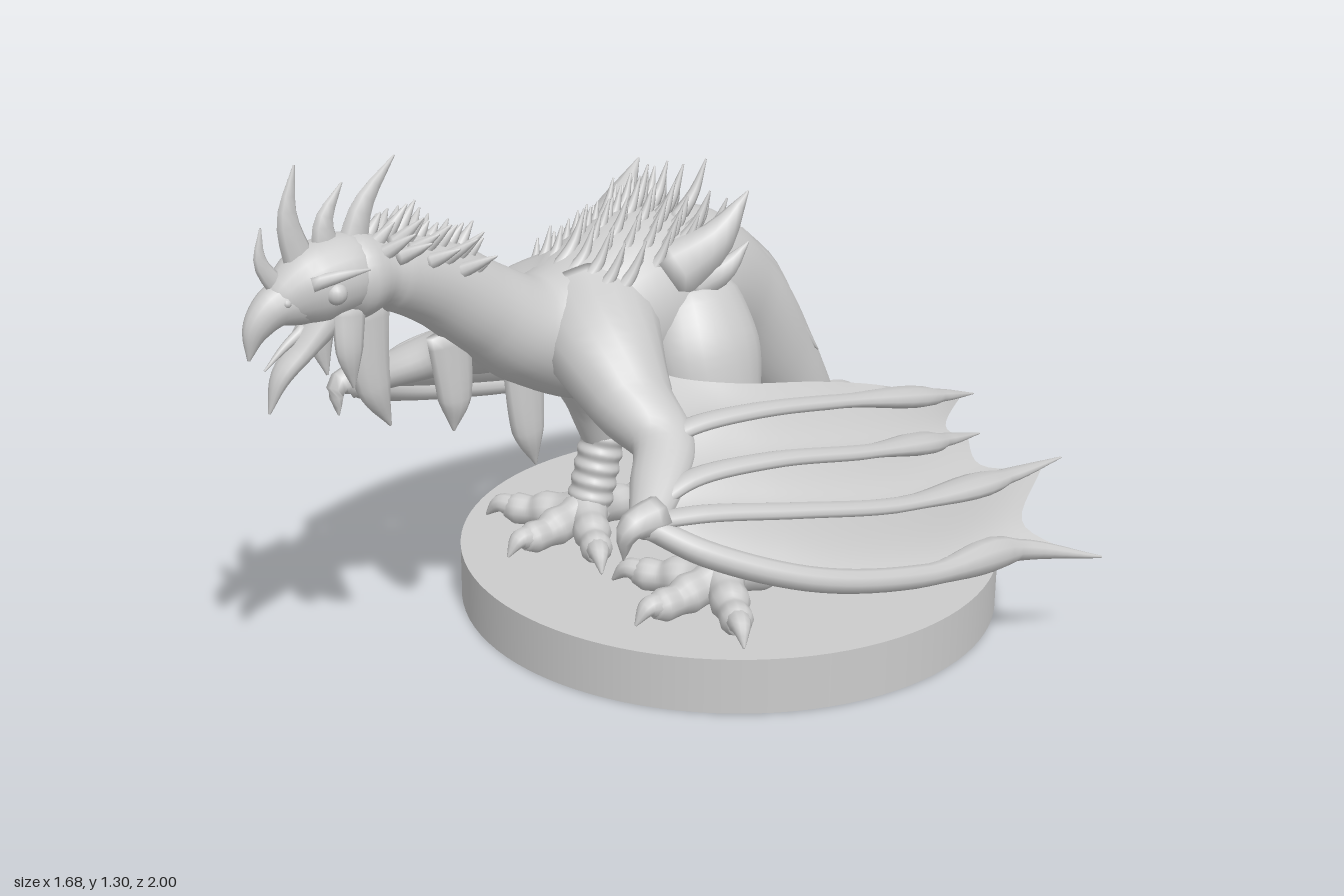
import * as THREE from 'three';

const V = (p) => new THREE.Vector3(p[0], p[1], p[2]);
const skin = new THREE.MeshStandardMaterial({ color: 0xcccccc });
const thin = new THREE.MeshStandardMaterial({ color: 0xcccccc, side: THREE.DoubleSide });

function build(pos, idx) {
  const g = new THREE.BufferGeometry();
  g.setAttribute('position', new THREE.Float32BufferAttribute(pos, 3));
  g.setIndex(idx);
  g.computeVertexNormals();
  return g;
}

// Smooth closed limb through stations [x, y, z, sideRadius, upRadius]
function loft(stations, steps = 24, sides = 16) {
  const curve = new THREE.CatmullRomCurve3(stations.map(V), false, 'centripetal');
  const radii = new THREE.CatmullRomCurve3(stations.map((s) => new THREE.Vector3(s[3], s[4] ?? s[3], 0)));
  const first = stations[0], last = stations[stations.length - 1];
  const upright = Math.abs(V(last).sub(V(first)).normalize().y) > 0.8;
  const pos = [], idx = [];
  for (let i = 0; i <= steps; i++) {
    const c = curve.getPoint(i / steps), r = radii.getPoint(i / steps), t = curve.getTangent(i / steps).normalize();
    const ref = upright ? new THREE.Vector3(0, 0, 1) : new THREE.Vector3(0, 1, 0);
    const side = ref.cross(t).normalize(), up = t.clone().cross(side);
    for (let j = 0; j < sides; j++) {
      const a = (j / sides) * Math.PI * 2;
      const p = c.clone().addScaledVector(side, Math.cos(a) * Math.max(r.x, 0.001)).addScaledVector(up, Math.sin(a) * Math.max(r.y, 0.001));
      pos.push(p.x, p.y, p.z);
      if (i < steps) {
        const k = i * sides + j, l = i * sides + (j + 1) % sides;
        idx.push(k, l, k + sides, l, l + sides, k + sides);
      }
    }
  }
  const n = pos.length / 3;
  pos.push(...first.slice(0, 3), ...last.slice(0, 3));
  for (let j = 0; j < sides; j++) {
    const k = (j + 1) % sides, e = steps * sides;
    idx.push(n, k, j, n + 1, e + j, e + k);
  }
  return build(pos, idx);
}

// Curved, tapering spike from base to tip; bow bends its middle
function spike(base, tip, r, bow = [0, 0, 0], flat = 1) {
  const mid = base.map((b, i) => (b + tip[i]) / 2 + bow[i]);
  return loft([[...base, r * flat, r], [...mid, r * 0.65 * flat, r * 0.65], [...tip, 0.002]], 7, 8);
}

// Webbing between two finger curves, sagging and scalloped at the rear
function web(a, b, sag) {
  const pos = [], idx = [], nu = 28, nv = 10;
  for (let i = 0; i <= nu; i++) for (let j = 0; j <= nv; j++) {
    const v = j / nv, s = Math.sin(Math.PI * v), u = (i / nu) * (0.94 - 0.1 * s);
    const p = a.getPoint(u).lerp(b.getPoint(u), v);
    pos.push(p.x, p.y - sag * s * Math.min(1, u * 3), p.z);
    if (i < nu && j < nv) {
      const k = i * (nv + 1) + j, l = k + nv + 1;
      idx.push(k, k + 1, l, k + 1, l + 1, l);
    }
  }
  return build(pos, idx);
}

export function createModel() {
  const root = new THREE.Group();
  const add = (name, geo, parent = root, mat = skin) => {
    const m = new THREE.Mesh(geo, mat);
    m.name = name;
    parent.add(m);
    return m;
  };
  const group = (name, parent = root) => {
    const g = new THREE.Group();
    g.name = name;
    parent.add(g);
    return g;
  };
  let seed = 7;
  const rnd = () => (seed = (seed * 16807) % 2147483647) / 2147483647;

  // Round stand
  add('base', new THREE.CylinderGeometry(0.667, 0.667, 0.135, 96)).position.set(0, 0.0675, -0.333);

  // Neck, trunk and sweeping tail in one skin
  add('bodyAndTail', loft([
    [0, 1.03, 0.84, 0.06, 0.07], [0, 1.04, 0.76, 0.08, 0.085], [0, 1.03, 0.65, 0.08, 0.085],
    [0, 0.98, 0.53, 0.085, 0.095], [0, 0.895, 0.41, 0.1, 0.105], [0, 0.82, 0.29, 0.13, 0.125],
    [0, 0.8, 0.15, 0.18, 0.175], [0, 0.83, -0.02, 0.195, 0.2], [0, 0.83, -0.17, 0.17, 0.19],
    [0, 0.745, -0.33, 0.125, 0.145], [0.01, 0.58, -0.47, 0.095, 0.11], [0.005, 0.42, -0.58, 0.08, 0.09],
    [-0.03, 0.29, -0.68, 0.07, 0.08], [-0.11, 0.21, -0.79, 0.06, 0.065], [-0.25, 0.18, -0.9, 0.047, 0.045],
    [-0.42, 0.17, -0.96, 0.034, 0.033], [-0.6, 0.165, -0.975, 0.022, 0.025], [-0.755, 0.165, -0.97, 0.008, 0.012]], 110, 28));

  // Head
  const head = group('head');
  add('skull', loft([[0, 1.04, 0.7, 0.05, 0.05], [0, 1.05, 0.76, 0.086, 0.085], [0, 1.04, 0.84, 0.08, 0.085],
    [0, 1.02, 0.9, 0.05, 0.06], [0, 1.0, 0.93, 0.03, 0.035]], 16, 20), head);
  add('upperBeak', loft([[0, 1.02, 0.86, 0.055, 0.06], [0, 1.01, 0.93, 0.042, 0.045],
    [0, 0.97, 0.975, 0.025, 0.03], [0, 0.91, 0.995, 0.003]], 14, 14), head);
  add('lowerBeak', loft([[0, 0.98, 0.8, 0.055, 0.045], [0, 0.91, 0.87, 0.04, 0.028],
    [0, 0.855, 0.925, 0.025, 0.02], [0, 0.785, 0.955, 0.003]], 14, 12), head);
  add('tongue', spike([0, 0.95, 0.86], [0, 0.88, 0.96], 0.014, [0, 0.005, 0]), head);
  for (const [bz, by, tz, ty, r] of [[0.91, 1.06, 0.95, 1.18, 0.024], [0.86, 1.1, 0.865, 1.295, 0.038],
    [0.8, 1.11, 0.755, 1.24, 0.036], [0.74, 1.11, 0.625, 1.275, 0.04]])
    add('combSpike', spike([0, by - 0.02, bz], [0, ty, tz], r, [0, 0, 0.025], 0.6), head);
  for (const s of [-1, 1]) {
    add('eye', new THREE.SphereGeometry(0.024, 16, 12), head).position.set(s * 0.07, 1.035, 0.825);
    add('brow', spike([s * 0.055, 1.06, 0.87], [s * 0.1, 1.08, 0.76], 0.018, [s * 0.008, 0.005, 0]), head);
    add('nostril', new THREE.SphereGeometry(0.01, 10, 8), head).position.set(s * 0.036, 1.025, 0.92);
    add('cheekWattle', loft([[s * 0.045, 0.99, 0.78, 0.015, 0.04], [s * 0.055, 0.9, 0.79, 0.016, 0.032],
      [s * 0.05, 0.815, 0.78, 0.003]], 10, 10), head);
  }
  // Hanging throat and chest wattles
  for (const [z, top, tip, dz] of [[0.71, 0.97, 0.685, -0.05], [0.5, 0.86, 0.63, -0.005], [0.3, 0.75, 0.49, -0.03]])
    add('throatWattle', loft([[0, top, z, 0.02, 0.06], [0, (top + tip) / 2 - 0.04, z - 0.01, 0.026, 0.042],
      [0, tip, z + dz, 0.003]], 12, 12));

  // Quills on the nape and across the shoulders
  const nape = group('napeQuills'), back = group('backQuills');
  for (let i = 0; i < 7; i++) for (let j = -2; j <= 2; j++) {
    const a = j * 0.45 + (i % 2) * 0.2 - 0.1, z = 0.7 - i * 0.037, l = 0.06 + rnd() * 0.045;
    const cy = 1.04 - Math.max(0, 0.64 - z) * 0.5, x = Math.sin(a), y = Math.cos(a);
    add('quill', spike([x * 0.07, cy + y * 0.065, z], [x * (0.07 + l * 0.7), cy + y * (0.065 + l * 0.7), z - l * 0.6], 0.019), nape);
  }
  for (let i = 0; i < 8; i++) for (let j = -3; j <= 3; j++) {
    const a = j * 0.24 + (i % 2) * 0.12 - 0.06, z = 0.2 - i * 0.042, l = 0.08 + rnd() * 0.06;
    const cy = 0.98 + Math.min(0.03, -(z - 0.02) * 0.3), x = Math.sin(a) * 0.18, y = cy - (1 - Math.cos(a)) * 0.2;
    add('quill', spike([x, y, z], [x * 1.2, y + l, z - l * 0.65], 0.021, [0, -0.01, -0.01]), back);
  }

  // Thorns down the tail
  for (const [b, t, r] of [[[0, 0.88, -0.33], [0, 0.69, -0.555], 0.06], [[-0.02, 0.42, -0.66], [-0.03, 0.365, -0.85], 0.038],
    [[-0.12, 0.24, -0.81], [-0.2, 0.28, -0.965], 0.03], [[-0.25, 0.2, -0.9], [-0.34, 0.27, -0.96], 0.024],
    [[0.06, 0.72, -0.4], [0.08, 0.6, -0.55], 0.035], [[-0.06, 0.72, -0.4], [-0.08, 0.6, -0.55], 0.035]])
    add('tailThorn', spike(b, t, r, [0, 0.02, 0], 0.7));

  for (const s of [1, -1]) {
    const side = s > 0 ? 'left' : 'right';
    const m = (pts) => pts.map(([x, ...rest]) => [x * s, ...rest]);
    const mSpike = (b, t, r, bow = [0, 0, 0]) => spike(...m([b, t]), r, [bow[0] * s, bow[1], bow[2]]);

    // Large shoulder horns
    add('shoulderHorn', mSpike([0.12, 0.91, -0.02], [0.19, 1.09, -0.2], 0.075, [0.015, -0.02, 0]));
    add('shoulderHorn', mSpike([0.15, 0.88, -0.06], [0.215, 0.98, -0.18], 0.045, [0.015, -0.01, 0]));

    // Arm, thumb claw, finger struts and webbing
    const wing = group(side + 'Wing');
    add('arm', loft(m([[0.04, 0.82, 0.13, 0.15, 0.15], [0.16, 0.785, 0.19, 0.13, 0.115], [0.28, 0.705, 0.215, 0.095, 0.085],
      [0.39, 0.65, 0.225, 0.07, 0.06], [0.47, 0.605, 0.31, 0.06, 0.045], [0.545, 0.555, 0.41, 0.035, 0.03]]), 28, 18), wing);
    add('thumbClaw', mSpike([0.54, 0.575, 0.37], [0.53, 0.495, 0.455], 0.045, [0.005, 0.03, 0.035]), wing);
    const paths = [
      [[0.55, 0.56, 0.4], [0.63, 0.5, 0.31], [0.73, 0.415, 0.1], [0.77, 0.345, -0.2], [0.755, 0.305, -0.52], [0.835, 0.25, -0.74]],
      [[0.55, 0.57, 0.38], [0.59, 0.57, 0.28], [0.65, 0.54, 0.08], [0.685, 0.485, -0.2], [0.655, 0.435, -0.58], [0.635, 0.415, -0.82]],
      [[0.51, 0.59, 0.35], [0.52, 0.62, 0.26], [0.555, 0.62, 0.06], [0.575, 0.575, -0.2], [0.53, 0.51, -0.5], [0.48, 0.46, -0.7]],
      [[0.4, 0.66, 0.24], [0.42, 0.685, 0.17], [0.45, 0.69, 0.02], [0.46, 0.655, -0.22], [0.44, 0.575, -0.58], [0.395, 0.52, -0.77]],
      [[0.18, 0.76, 0.14], [0.27, 0.735, 0.09], [0.345, 0.715, -0.02], [0.37, 0.67, -0.25], [0.375, 0.615, -0.45], [0.43, 0.575, -0.58]]].map(m);
    const curves = paths.map((p) => new THREE.CatmullRomCurve3(p.map(V), false, 'centripetal'));
    const widths = [0.026, 0.028, 0.027, 0.026, 0.026, 0.003];
    paths.slice(0, 4).forEach((p, i) =>
      add('wingFinger', loft(p.map((q, k) => [...q, widths[k] * (i ? 1.1 : 1), widths[k] * (i ? 0.6 : 1)]), 36, 10), wing));
    for (let i = 0; i < 4; i++) add('wingMembrane', web(curves[i], curves[i + 1], 0.022), wing, thin);

    // Thigh, ringed shin and clawed foot
    const leg = group(side + 'Leg');
    add('thigh', loft(m([[0.09, 0.9, -0.09, 0.03, 0.05], [0.13, 0.84, -0.09, 0.09, 0.12], [0.175, 0.73, -0.08, 0.115, 0.145],
      [0.22, 0.6, -0.08, 0.095, 0.12], [0.245, 0.48, -0.11, 0.07, 0.075], [0.25, 0.37, -0.14, 0.05, 0.055]]), 26, 22), leg);
    const shin = [];
    for (let i = 0; i <= 14; i++)
      shin.push([0.25, 0.43 - i * 0.0185, -0.15 + i * 0.005, 0.053 + (i % 2) * 0.006]);
    add('shin', loft(m(shin), 70, 18), leg);
    for (const [x, z] of [[0.24, 0.175], [0.48, 0.06], [0.02, 0.06], [0.285, -0.37]]) {
      const at = (t, y, r) => [0.25 + (x - 0.25) * t, y, -0.08 + (z + 0.08) * t, r];
      add('toe', loft(m([at(0, 0.195, 0.06), at(0.25, 0.18, 0.044), at(0.4, 0.175, 0.048), at(0.54, 0.168, 0.037),
        at(0.68, 0.168, 0.04), at(0.8, 0.165, 0.024)]), 24, 12), leg);
      add('claw', loft(m([at(0.72, 0.172, 0.03), at(0.86, 0.175, 0.024), at(1, 0.14, 0.003)]), 9, 10), leg);
    }
  }
  return root;
}
